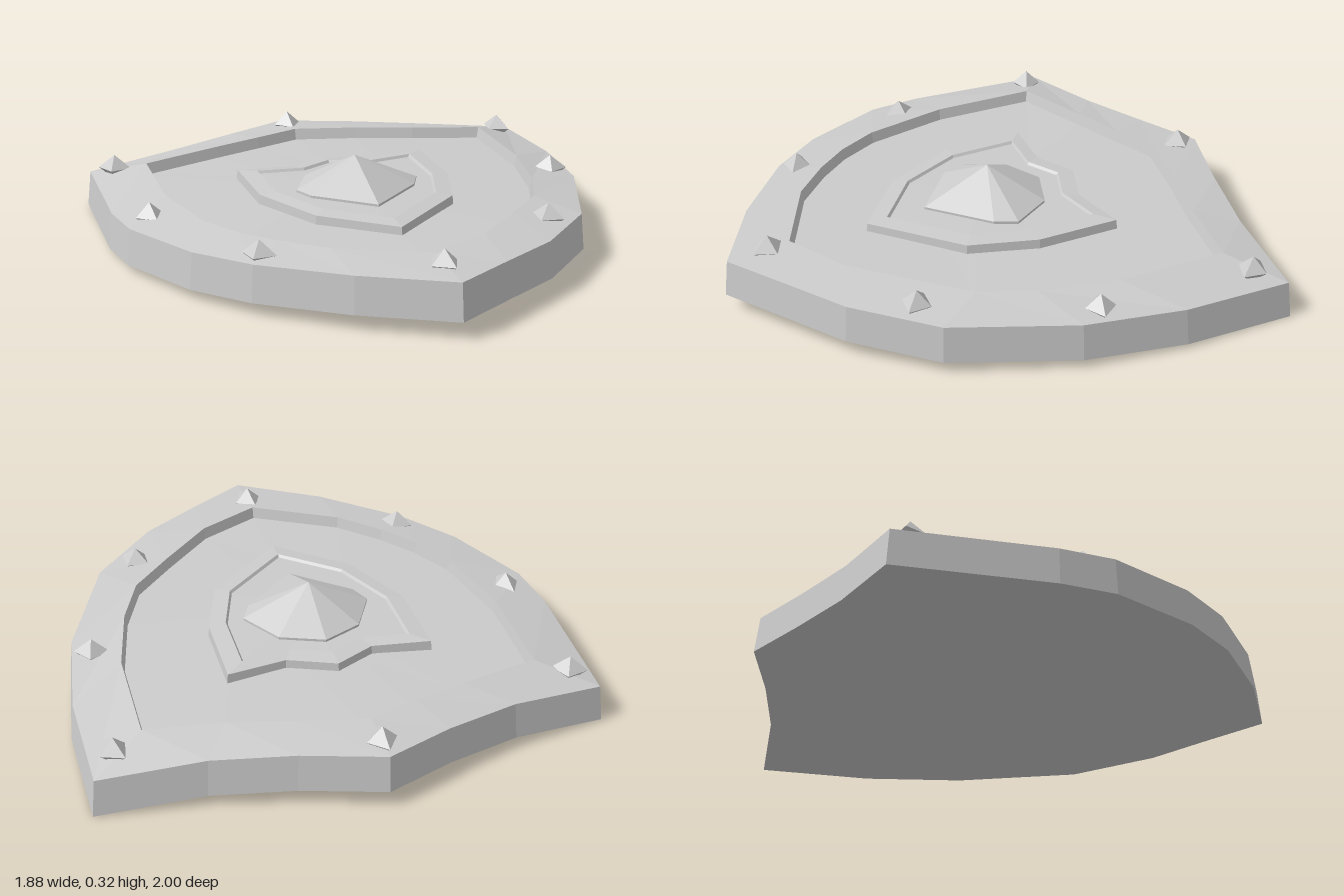
import * as THREE from 'three';

const material = new THREE.MeshStandardMaterial({ color: 0xcccccc, flatShading: true, roughness: 0.8 });

// Outlines as [x, z], clockwise seen from above, starting at the rear peak
const OUTER = [[-0.02, -1], [0.27, -0.9], [0.56, -0.82], [0.94, -0.77], [0.935, -0.34], [0.87, 0.04], [0.68, 0.48],
  [0.43, 0.73], [0.2, 0.87], [-0.02, 1], [-0.33, 0.81], [-0.61, 0.57], [-0.77, 0.36], [-0.915, 0.03],
  [-0.937, -0.18], [-0.905, -0.75], [-0.55, -0.81], [-0.27, -0.9]];
const INNER = [[-0.02, -0.78], [0.22, -0.72], [0.45, -0.655], [0.725, -0.6], [0.71, -0.19], [0.64, 0.1], [0.555, 0.295],
  [0.4, 0.45], [0.21, 0.63], [-0.02, 0.74], [-0.33, 0.57], [-0.47, 0.43], [-0.57, 0.3], [-0.65, 0.14],
  [-0.71, -0.19], [-0.69, -0.585], [-0.39, -0.665], [-0.2, -0.72]];
const EMBLEM = [[-0.02, -0.43], [0.155, -0.355], [0.38, -0.385], [0.37, -0.065], [0.285, 0.19],
  [-0.02, 0.45], [-0.27, 0.23], [-0.395, -0.065], [-0.39, -0.385], [-0.17, -0.355]];
const GEM = [[-0.02, -0.275], [0.14, -0.21], [0.23, -0.05], [0.19, 0.03], [-0.02, 0.21],
  [-0.22, 0.03], [-0.25, -0.05], [-0.165, -0.21]];

// Place an outline in space: scaled about (-0.02, cz), with height given by a rule
const ring = (outline, scale, height, cz = 0) => outline.map(([px, pz]) => {
  const x = -0.02 + (px + 0.02) * scale, z = cz + (pz - cz) * scale;
  return new THREE.Vector3(x, typeof height === 'function' ? height(x, z) : height, z);
});

// Skin consecutive rings, skipping collapsed triangles
function loft(name, rings) {
  const pos = [];
  const tri = (a, b, c) => {
    if (a.distanceTo(b) < 1e-6 || b.distanceTo(c) < 1e-6 || a.distanceTo(c) < 1e-6) return;
    for (const p of [a, b, c]) pos.push(p.x, p.y, p.z);
  };
  for (let k = 0; k < rings.length - 1; k++) {
    const a = rings[k], b = rings[k + 1], n = a.length;
    for (let i = 0; i < n; i++) {
      const j = (i + 1) % n;
      tri(a[i], b[i], b[j]);
      tri(a[i], b[j], a[j]);
    }
  }
  const geometry = new THREE.BufferGeometry();
  geometry.setAttribute('position', new THREE.Float32BufferAttribute(pos, 3));
  geometry.computeVertexNormals();
  const mesh = new THREE.Mesh(geometry, material);
  mesh.name = name;
  return mesh;
}

export function createModel() {
  const shield = new THREE.Group();
  shield.name = 'shield';

  // Curvature: the sides bend down, most of all at the rear corners
  const bend = (x, z) => 0.043 * x * x + 0.037 * x * x * Math.max(0, -z);
  const under = (x, z) => 0.065 - bend(x, z);
  const edge = (x, z) => 0.2 - bend(x, z);
  const rim = (x) => 0.218 - 0.035 * x * x;
  const panel = (x) => 0.175 - 0.035 * x * x;

  // Body: underside, side wall, raised rim and sunken panel
  shield.add(loft('shieldBody', [
    ring(OUTER, 0, under),
    ring(OUTER, 0.6, under),
    ring(OUTER, 1, under),
    ring(OUTER, 0.985, edge),
    ring(INNER, 1.01, rim),
    ring(INNER, 0.995, panel),
    ring(INNER, 0.5, panel),
    ring(INNER, 0, panel),
  ]));

  // Small shield-shaped plate with a shallow dish
  shield.add(loft('emblemPlate', [
    ring(EMBLEM, 1, 0.15),
    ring(EMBLEM, 0.985, 0.205, -0.03),
    ring(EMBLEM, 0.82, 0.212, -0.03),
    ring(EMBLEM, 0.8, 0.202, -0.03),
    ring(EMBLEM, 0, 0.205, -0.03),
  ]));

  // Faceted boss in the middle
  shield.add(loft('centreBoss', [
    ring(GEM, 1, 0.19),
    ring(GEM, 1, 0.212),
    ring(GEM, 0, 0.325, -0.05),
  ]));

  // Studs round the rim: x, z, turn
  const studs = [[-0.02, -0.9, 0.1], [0.84, -0.66, 0.5], [0.8, -0.06, 1.3], [0.52, 0.5, 0.7],
    [-0.02, 0.83, 0.3], [-0.56, 0.5, 0.9], [-0.81, -0.05, 0.2], [-0.81, -0.65, 1.1]];
  const studGeometry = new THREE.OctahedronGeometry(1);
  studs.forEach(([x, z, turn], i) => {
    const stud = new THREE.Mesh(studGeometry, material);
    stud.name = `stud${i + 1}`;
    stud.position.set(x, 0.212 - 0.05 * x * x, z);
    stud.scale.set(0.055, 0.052, 0.065);
    stud.rotation.y = turn;
    shield.add(stud);
  });

  return shield;
}
